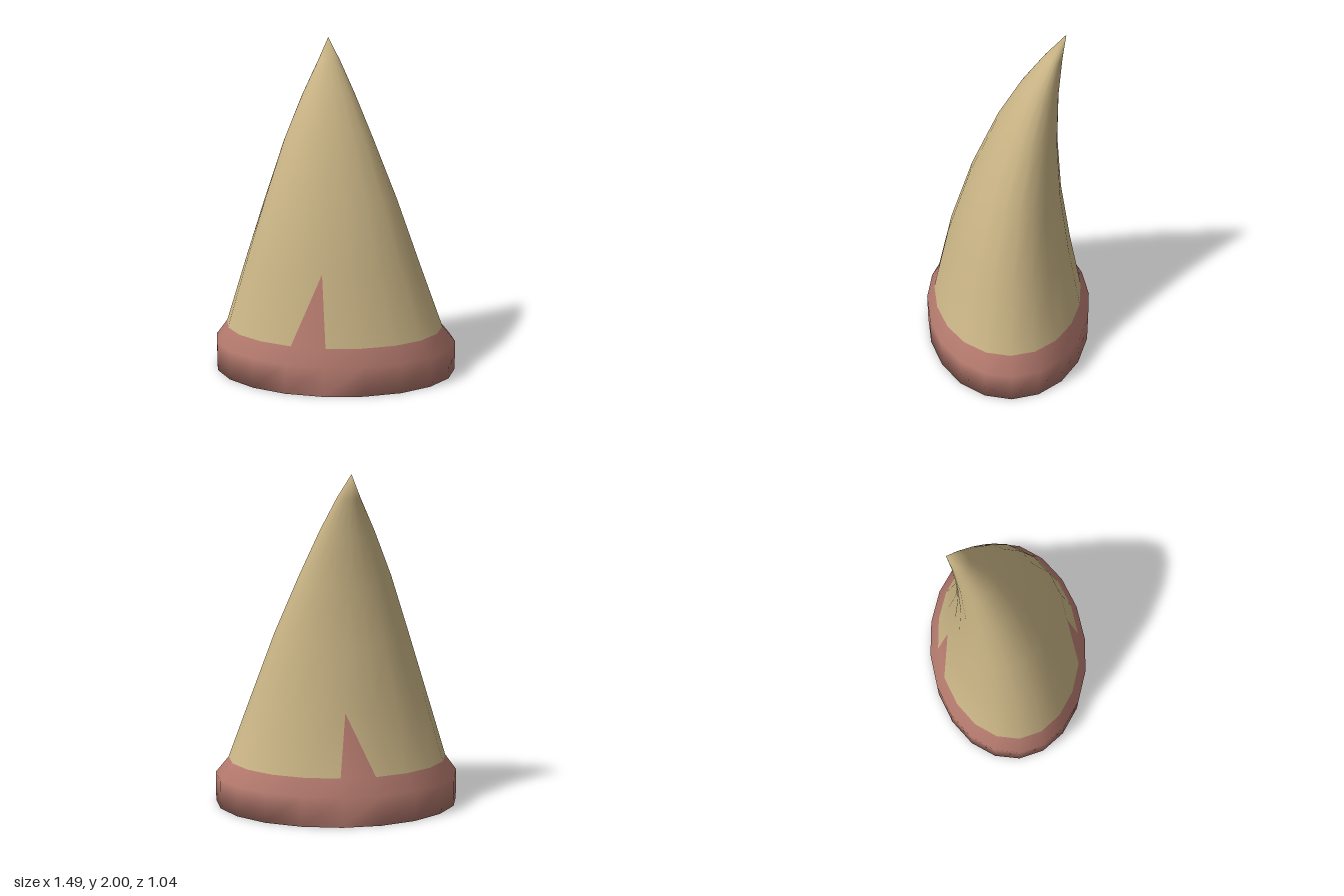
import * as THREE from 'three';

const N = 20; // columns around; column 0 is the front, N / 2 the back

// Cross-sections: front y, back y, left and right x limits, widest x, front z, back z
const RINGS = [
  [0, 0, -0.745, 0.74, -0.02, 0.52, -0.525],
  [0.18, 0.18, -0.745, 0.74, -0.02, 0.52, -0.525],
  [0.275, 0.275, -0.675, 0.66, -0.01, 0.47, -0.467],
  [0.69, 0.64, -0.555, 0.515, -0.04, 0.37, -0.388],
  [1.11, 1.0, -0.433, 0.37, -0.06, 0.225, -0.325],
  [1.47, 1.34, -0.32, 0.222, -0.065, 0.06, -0.295],
  [1.7, 1.64, -0.217, 0.103, -0.07, -0.08, -0.295],
  [1.87, 1.86, -0.13, 0.005, -0.073, -0.21, -0.312],
];
const APEX = [-0.075, 2, -0.33];

export function createModel() {
  const group = new THREE.Group();
  const ivory = new THREE.MeshStandardMaterial({ color: 0xc8b384 });
  ivory.name = 'ivory';
  const pink = new THREE.MeshStandardMaterial({ color: 0xb97d71 });
  pink.name = 'gumPink';

  // Tilted oval rings, then the tip
  const points = [];
  for (const [yf, yb, xl, xr, cx, zf, zb] of RINGS) {
    for (let j = 0; j < N; j++) {
      const t = (j / N) * Math.PI * 2;
      const s = Math.sin(t), c = Math.cos(t);
      points.push(
        cx + s * (s > 0 ? xr - cx : cx - xl),
        (yf + yb) / 2 + (c * (yf - yb)) / 2,
        (zf + zb) / 2 + (c * (zf - zb)) / 2,
      );
    }
  }
  points.push(...APEX);
  const tip = RINGS.length * N;

  const gum = [], tooth = [];
  for (let i = 0; i < RINGS.length - 1; i++) {
    for (let j = 0; j < N; j++) {
      const k = (j + 1) % N;
      const a = i * N + j, b = i * N + k, c = b + N, d = a + N;
      const skin = i < 2 ? gum : tooth;
      // A gum spike rises one ring at the front and at the back
      if (i === 2 && j === N - 1) {
        gum.push(a, b, c);
        tooth.push(a, c, d);
      } else if (i === 2 && j === N / 2) {
        gum.push(a, b, d);
        tooth.push(b, c, d);
      } else {
        skin.push(a, b, c, a, c, d);
      }
    }
  }

  // Pointed end
  const last = (RINGS.length - 1) * N;
  for (let j = 0; j < N; j++) tooth.push(last + j, last + ((j + 1) % N), tip);

  // Underside, in strips from front to back
  for (let j = 0; j < N / 2; j++) {
    const r = j, r2 = j + 1, l = (N - j) % N, l2 = N - j - 1;
    if (r !== l) gum.push(r, l, l2);
    if (r2 !== l2) gum.push(r, l2, r2);
  }

  // Smooth normals shared across both colours
  const whole = new THREE.BufferGeometry();
  whole.setAttribute('position', new THREE.Float32BufferAttribute(points, 3));
  whole.setIndex([...gum, ...tooth]);
  whole.computeVertexNormals();

  const addPart = (name, index, material) => {
    const geometry = whole.clone();
    geometry.setIndex(index);
    const mesh = new THREE.Mesh(geometry, material);
    mesh.name = name;
    group.add(mesh);
  };
  addPart('gumBase', gum, pink);
  addPart('tooth', tooth, ivory);

  group.name = 'curvedTooth';
  return group;
}
